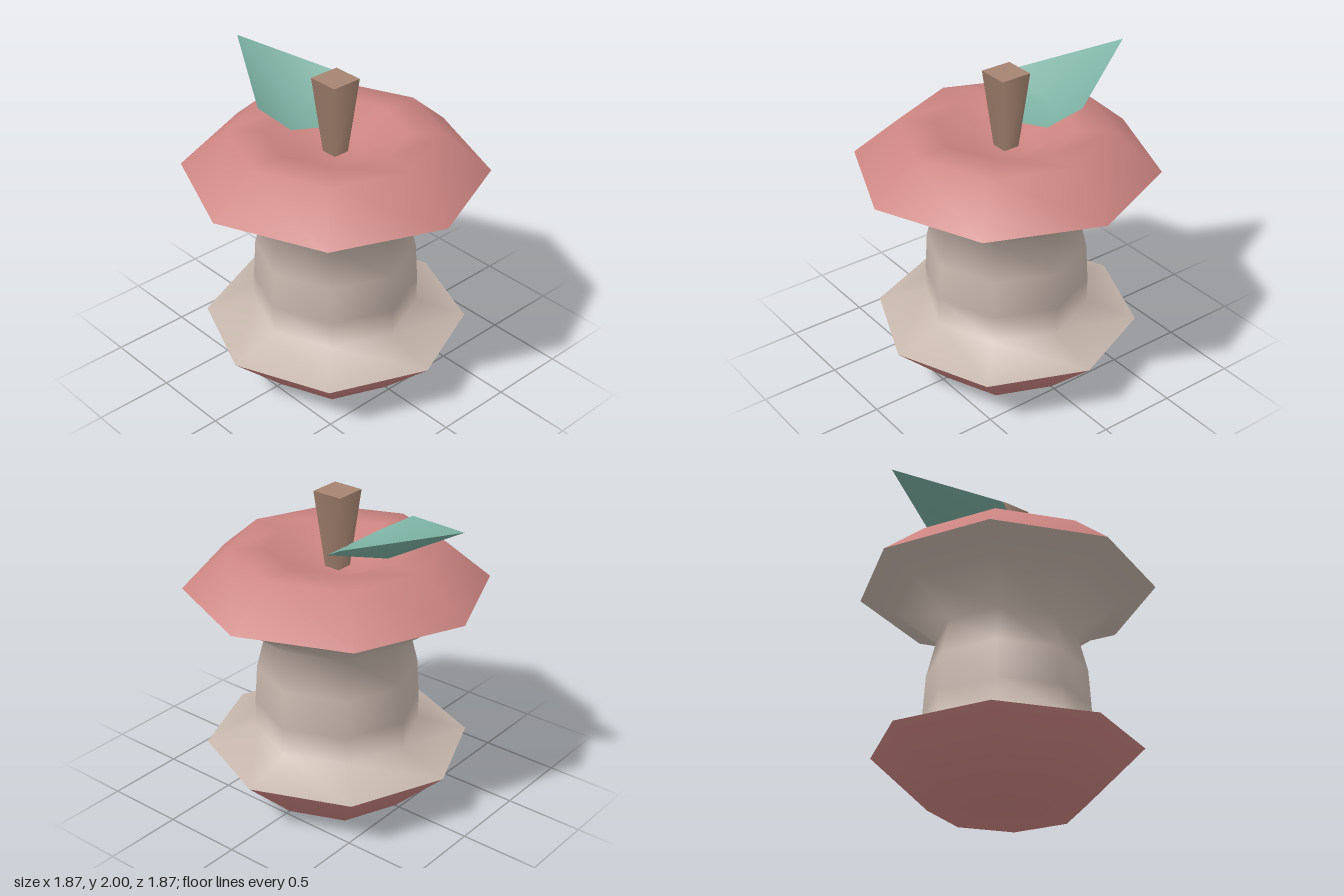
import * as THREE from 'three';

const material = (name, color, extra = {}) => {
  const m = new THREE.MeshStandardMaterial({ color, ...extra });
  m.name = name;
  return m;
};

export function createModel() {
  const group = new THREE.Group();
  const skin = material('red skin', 0xcb8481);
  const flesh = material('cream flesh', 0xc6b6ac);
  const bark = material('brown stem', 0xa58370);
  const green = material('green leaf', 0x7bb0a1, { side: THREE.DoubleSide });

  const add = (name, geometry, mat) => {
    const mesh = new THREE.Mesh(geometry, mat);
    mesh.name = name;
    group.add(mesh);
    return mesh;
  };
  // Smooth eight-sided ring bodies, profile given bottom to top
  const lathe = (name, profile, mat) =>
    add(name, new THREE.LatheGeometry(profile.map(([r, y]) => new THREE.Vector2(r, y)), 8), mat);

  lathe('bottomSkin', [[0, 0], [0.47, 0], [0.825, 0.34]], skin);
  lathe('eatenCore', [
    [0.825, 0.34], [0.515, 0.44], [0.515, 0.62], [0.5, 0.86],
    [0.44, 1.1], [0.72, 1.31], [0.933, 1.41],
  ], flesh);
  // Top skin with a sunken well for the stem
  lathe('topSkin', [[0.933, 1.41], [0.65, 1.65], [0.43, 1.645], [0.19, 1.52], [0, 1.52]], skin);

  // Square stem, widening upwards
  const stem = new THREE.CylinderGeometry(0.1 * Math.SQRT2, 0.053 * Math.SQRT2, 0.48, 4);
  stem.rotateY(Math.PI / 4);
  add('stem', stem, bark).position.y = 1.76;

  // Leaf folded along its midrib
  const leaf = new THREE.BufferGeometry();
  leaf.setAttribute('position', new THREE.Float32BufferAttribute([
    0, 1.66, -0.06, // base
    0.24, 1.7, -0.12,
    0.34, 1.81, -0.3,
    0, 1.97, -0.9, // tip
    -0.34, 1.81, -0.3,
    -0.24, 1.7, -0.12,
    0, 1.67, -0.38, // midrib
  ], 3));
  const index = [];
  for (let i = 0; i < 6; i++) index.push(6, i, (i + 1) % 6);
  leaf.setIndex(index);
  leaf.computeVertexNormals();
  add('leaf', leaf, green);

  return group;
}
